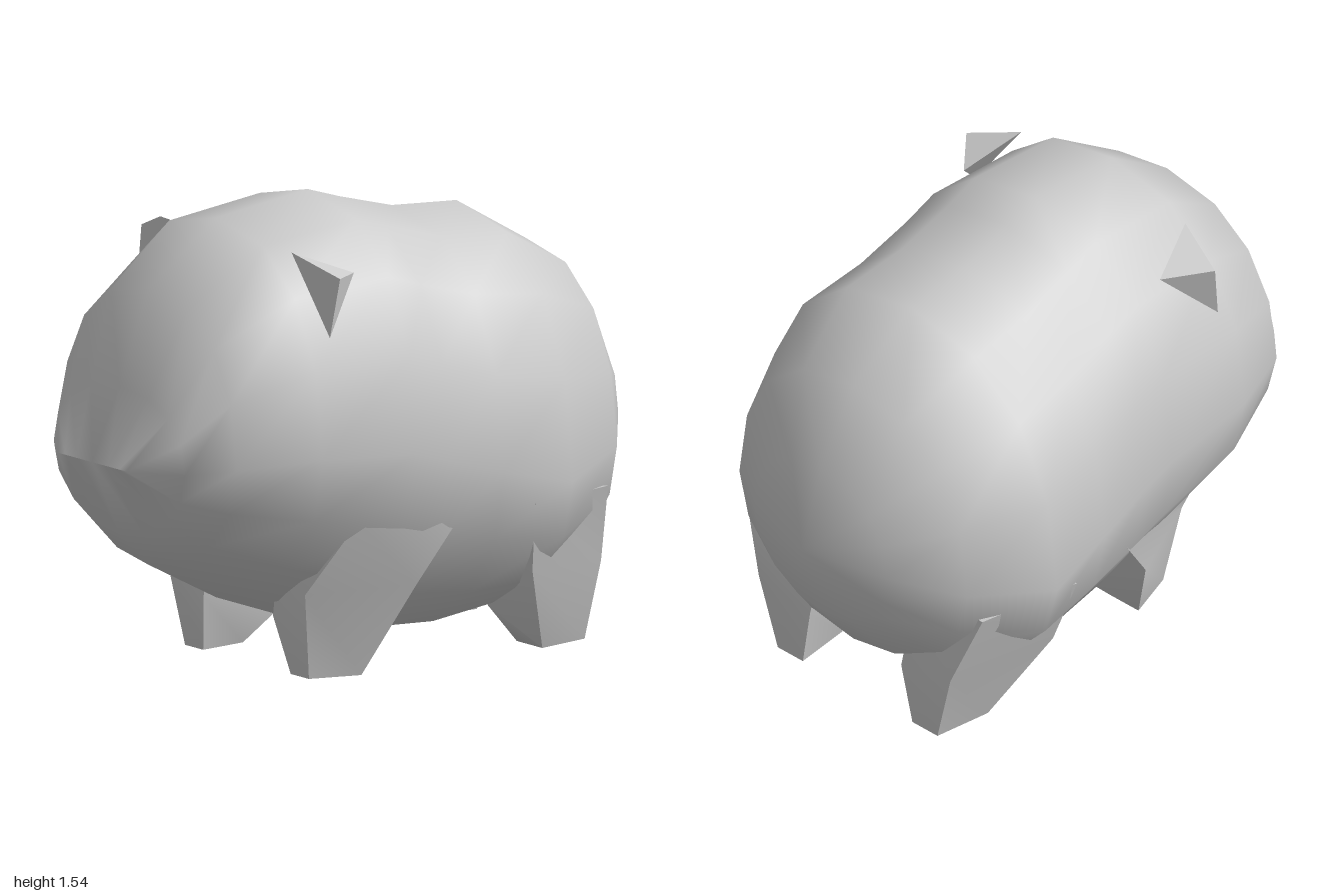
import * as THREE from 'three';
import { toCreasedNormals } from 'three/addons/utils/BufferGeometryUtils.js';

const material = new THREE.MeshStandardMaterial({ color: 0xcccccc });

// Skin over a row of closed rings of [x, y, z] points, capped at both ends
function loft(rings, crease) {
  const n = rings[0].length, last = (rings.length - 1) * n, index = [];
  for (let i = 0; i < rings.length - 1; i++) {
    for (let j = 0; j < n; j++) {
      const a = i * n + j, b = i * n + (j + 1) % n;
      index.push(a, b, a + n, b, b + n, a + n);
    }
  }
  for (let j = 1; j < n - 1; j++) {
    index.push(0, j + 1, j, last, last + j, last + j + 1);
  }
  const geometry = new THREE.BufferGeometry();
  geometry.setAttribute('position', new THREE.Float32BufferAttribute(rings.flat(2), 3));
  geometry.setIndex(index);
  return toCreasedNormals(geometry, crease);
}

// Mirror a ring in x, keeping its turning direction
const mirrorRing = (ring) => ring.map(([x, y, z]) => [-x, y, z]).reverse();

// Body cross-section: rounded square above the widest line, softer below
function bodyRing([z, top, bottom, width, mid], sides = 16) {
  return Array.from({ length: sides }, (_, j) => {
    const t = (j / sides) * Math.PI * 2, c = Math.cos(t), s = Math.sin(t);
    const p = s > 0 ? 0.86 : 1.05;
    const x = Math.abs(c) < 1e-6 ? 0 : Math.sign(c) * width * Math.abs(c) ** p;
    const y = s > 0 ? mid + (top - mid) * s ** 0.95 : mid + (mid - bottom) * s;
    return [x, y, z];
  });
}

export function createModel() {
  const model = new THREE.Group();
  const add = (name, geometry) => {
    const mesh = new THREE.Mesh(geometry, material);
    mesh.name = name;
    model.add(mesh);
  };

  // Body and head: z, top, bottom, half width, height of widest line
  const stations = [
    [-1, 0.74, 0.74, 0, 0.74],
    [-0.91, 1.02, 0.44, 0.29, 0.72],
    [-0.75, 1.27, 0.23, 0.5, 0.66],
    [-0.47, 1.43, 0.1, 0.64, 0.6],
    [-0.21, 1.445, 0.055, 0.615, 0.66],
    [0, 1.5, 0.06, 0.6, 0.72],
    [0.13, 1.54, 0.1, 0.6, 0.76],
    [0.5, 1.49, 0.23, 0.585, 0.78],
    [0.77, 1.29, 0.37, 0.48, 0.76],
    [0.89, 0.98, 0.49, 0.36, 0.74],
    [1, 0.74, 0.74, 0.2, 0.74],
  ];
  add('body', loft(stations.map((s) => bodyRing(s)), Math.PI));

  // Legs: foot, knee and shoulder rings
  // (inner front, outer front, outer back, inner back)
  const legs = {
    front: [
      [[0.24, 0, 0.375], [0.34, 0, 0.375], [0.39, 0, 0.2], [0.26, 0, 0.2]],
      [[0.19, 0.19, 0.41], [0.38, 0.29, 0.42], [0.53, 0.31, 0.08], [0.2, 0.11, 0.1]],
      [[0.2, 0.5, 0.38], [0.54, 0.55, 0.32], [0.57, 0.54, -0.08], [0.2, 0.5, 0.05]],
    ],
    back: [
      [[0.25, 0, -0.53], [0.39, 0, -0.53], [0.35, 0, -0.73], [0.24, 0, -0.73]],
      [[0.2, 0.12, -0.45], [0.54, 0.3, -0.38], [0.42, 0.27, -0.745], [0.2, 0.22, -0.74]],
      [[0.2, 0.5, -0.4], [0.61, 0.54, -0.34], [0.52, 0.54, -0.7], [0.2, 0.5, -0.66]],
    ],
  };
  for (const [end, rings] of Object.entries(legs)) {
    add(`${end}LegLeft`, loft(rings, 1));
    add(`${end}LegRight`, loft(rings.map(mirrorRing), 1));
  }

  // Ears: small three-sided spikes with sharp edges
  const tip = [0.545, 1.365, 0.4];
  const base = [[0.43, 1.35, 0.26], [0.36, 1.43, 0.46], [0.53, 1.17, 0.43]];
  const ear = [base, [tip, tip, tip]];
  add('earLeft', loft(ear, 0.1));
  add('earRight', loft(ear.map(mirrorRing), 0.1));

  return model;
}
